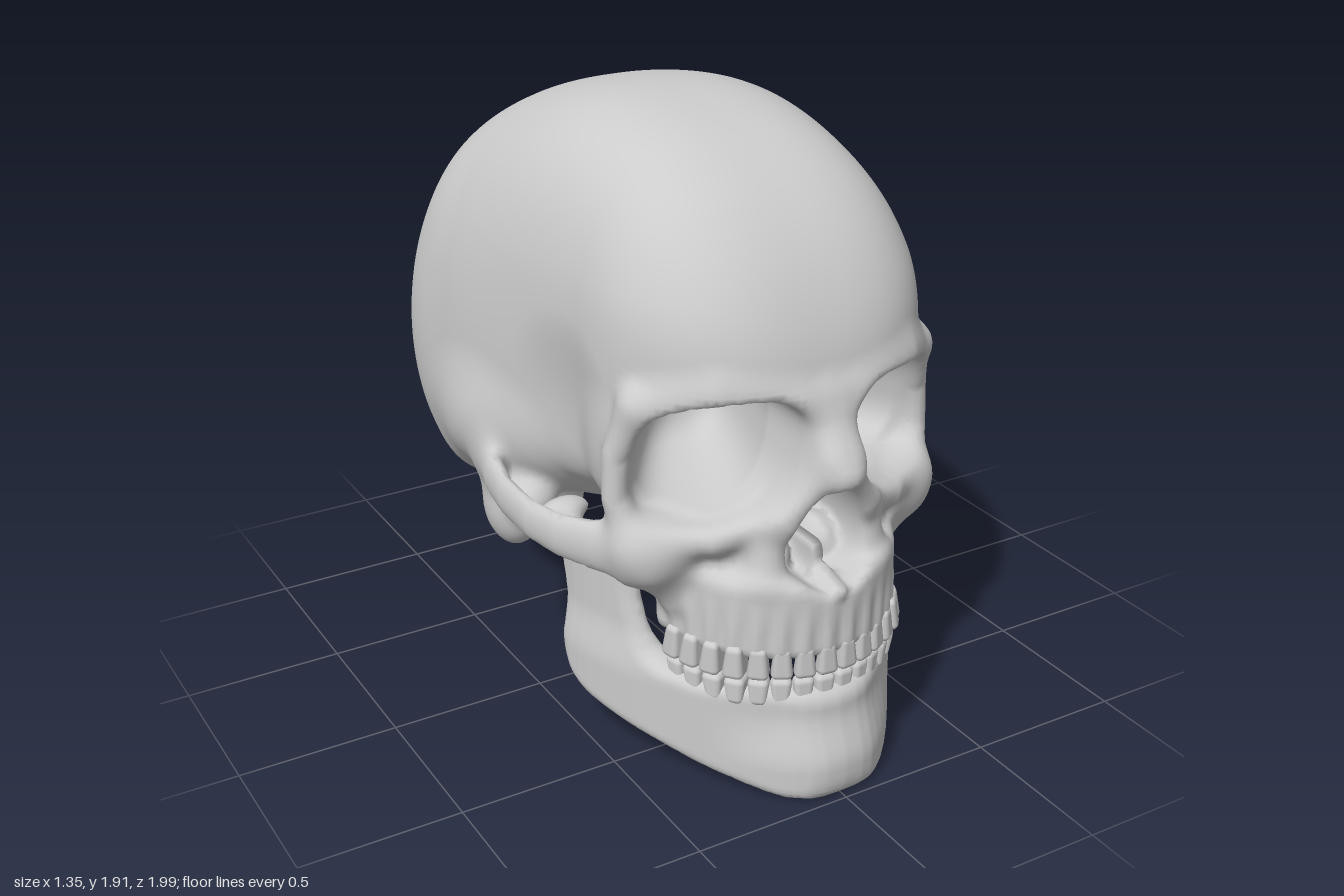
import * as THREE from 'three';
import { RoundedBoxGeometry } from 'three/addons/geometries/RoundedBoxGeometry.js';

const bone = new THREE.MeshStandardMaterial({ color: 0xcccccc });

// ---- blending and primitive shapes (signed distance, negative inside) ----
const smin = (a, b, k) => {
  const h = Math.max(k - Math.abs(a - b), 0) / k;
  return Math.min(a, b) - h * h * k / 4;
};
const smax = (a, b, k) => -smin(-a, -b, k);
const step = (a, b, v) => {
  const t = Math.min(Math.max((v - a) / (b - a), 0), 1);
  return t * t * (3 - 2 * t);
};
const len = (a, b, c = 0) => Math.sqrt(a * a + b * b + c * c);

function ellipsoid(x, y, z, cx, cy, cz, rx, ry, rz) {
  const a = (x - cx) / rx, b = (y - cy) / ry, c = (z - cz) / rz;
  const k0 = len(a, b, c), k1 = len(a / rx, b / ry, c / rz);
  return (k0 + 1e-6) * (k0 - 1) / (k1 + 1e-6);
}

// rounded strut through points [x, y, z, radius]; flat < 1 makes it taller than thick
function strut(x, y, z, pts, flat = 1) {
  let best = 1e9;
  for (let i = 0; i + 1 < pts.length; i++) {
    const [ax, ay, az, ar] = pts[i], [bx, by, bz, br] = pts[i + 1];
    const px = x - ax, py = (y - ay) * flat, pz = z - az;
    const dx = bx - ax, dy = (by - ay) * flat, dz = bz - az;
    const t = Math.min(Math.max((px * dx + py * dy + pz * dz) / (dx * dx + dy * dy + dz * dz), 0), 1);
    best = Math.min(best, len(px - dx * t, py - dy * t, pz - dz * t) - ar - (br - ar) * t);
  }
  return best;
}

function polygon(u, v, pts) {
  let d = 1e9, sign = 1;
  for (let i = 0, j = pts.length - 1; i < pts.length; j = i++) {
    const a = pts[i], b = pts[j], ex = b.x - a.x, ey = b.y - a.y, wx = u - a.x, wy = v - a.y;
    const t = Math.min(Math.max((wx * ex + wy * ey) / (ex * ex + ey * ey + 1e-12), 0), 1);
    d = Math.min(d, len(wx - ex * t, wy - ey * t));
    if ((a.y > v) !== (b.y > v) && u < a.x + ex * (v - a.y) / ey) sign = -sign;
  }
  return sign * d;
}

// ---- skin a field with one vertex per surface cell and smooth normals ----
function sculpt(name, field, lo, hi, h) {
  const n = lo.map((l, a) => Math.ceil((hi[a] - l) / h) + 1);
  const stride = [1, n[0], n[0] * n[1]], total = n[0] * n[1] * n[2];
  const val = new Float32Array(total), id = new Int32Array(total).fill(-1);
  const pos = [], nor = [], index = [];
  const each = (margin, fn) => {
    for (let k = 0; k < n[2] - margin; k++) for (let j = 0; j < n[1] - margin; j++)
      for (let i = 0; i < n[0] - margin; i++) fn(i, j, k, i + j * stride[1] + k * stride[2]);
  };
  each(0, (i, j, k, c) => { val[c] = field(lo[0] + i * h, lo[1] + j * h, lo[2] + k * h); });
  const gradient = (x, y, z, e) => [field(x + e, y, z) - field(x - e, y, z),
    field(x, y + e, z) - field(x, y - e, z), field(x, y, z + e) - field(x, y, z - e)].map(g => g / (2 * e));
  each(1, (i, j, k, c) => {
    const p = [0, 0, 0];
    let hits = 0;
    for (let q = 0; q < 8; q++) for (let a = 0; a < 3; a++) {
      if (q >> a & 1) continue;
      const o = [q & 1, q >> 1 & 1, q >> 2];
      const s = c + o[0] + o[1] * stride[1] + o[2] * stride[2], v0 = val[s], v1 = val[s + stride[a]];
      if ((v0 < 0) === (v1 < 0)) continue;
      o[a] += v0 / (v0 - v1);
      for (let b = 0; b < 3; b++) p[b] += o[b];
      hits++;
    }
    if (!hits) return;
    const w = [i, j, k].map((g, a) => lo[a] + (g + p[a] / hits) * h);
    const g = gradient(...w, 0.006), l = len(...g) || 1;
    const move = Math.min(Math.max(field(...w) / l, -h / 2), h / 2);
    id[c] = pos.length / 3;
    pos.push(...w.map((v, a) => v - g[a] / l * move));
    nor.push(...g.map(v => v / l));
  });
  each(1, (i, j, k, c) => {
    const at = [i, j, k];
    for (let a = 0; a < 3; a++) {
      const b = (a + 1) % 3, d = (a + 2) % 3;
      if (!at[b] || !at[d] || (val[c] < 0) === (val[c + stride[a]] < 0)) continue;
      const q = [id[c], id[c - stride[b]], id[c - stride[b] - stride[d]], id[c - stride[d]]];
      if (val[c] >= 0) q.reverse();
      index.push(q[0], q[1], q[2], q[0], q[2], q[3]);
    }
  });
  const geo = new THREE.BufferGeometry();
  geo.setAttribute('position', new THREE.Float32BufferAttribute(pos, 3));
  geo.setAttribute('normal', new THREE.Float32BufferAttribute(nor, 3));
  geo.setIndex(index);
  const mesh = new THREE.Mesh(geo, bone);
  mesh.name = name;
  return mesh;
}

// ---- braincase: side profile as radii every 15 degrees, front through top to back ----
const radii = [.89, .932, .941, .932, .907, .875, .86, .861, .885, .915, .924, .936,
  .947, .944, .92, .856, .63, .5, .455, .445, .45, .48, .58, .75];
function braincase(x, y, z) {
  const dz = z + .05, dy = y - 1.05;
  const a = (Math.atan2(dy, dz) / (Math.PI * 2) + 1) % 1 * 24, i = Math.floor(a), t = a - i;
  const [p, q, r, s] = [23, 24, 25, 26].map(o => radii[(i + o) % 24]);
  const R = q + .5 * t * (r - p + t * (2 * p - 5 * q + 4 * r - s + t * (3 * (q - r) + s - p)));
  const W = .66 + .05 * step(-.35, -.7, z) - .11 * step(-.6, .35, z) + .035 * step(.25, .6, z);
  const e = 2.5 + .5 * step(1.15, 1.5, y) * step(-.4, .3, z);
  return (Math.pow(Math.pow(len(dy, dz) / R, e) + Math.pow(x / W, e), 1 / e) - 1) * .65;
}

// eye socket: slanted rounded funnel narrowing inward
function socket(x, y, z) {
  const t = Math.min(Math.max((z - .3) / .36, 0), 1), s = .3 + .7 * Math.sqrt(t);
  const dx = x - (.14 + .165 * t), dy = y - 1.05;
  const u = Math.abs(dx + dy * .2) / (.215 * s), v = Math.abs(dy + dx * .06) / (.19 * s);
  return smax((Math.pow(Math.pow(u, 2.6) + Math.pow(v, 2.6), 1 / 2.6) - 1) * .19 * s, .3 - z, .08);
}

function dentalArch(x, z, rx, rz) {
  return (len(x / rx, Math.max(z - .55, 0) / rz) - 1) * rx;
}

const brow = [[.1, 1.21, .82, .04], [.3, 1.255, .75, .035], [.46, 1.205, .615, .035]];
const sideRim = [[.47, 1.2, .6, .04], [.515, 1.05, .557, .035], [.515, .92, .557, .04], [.48, .8, .59, .05]];
const lowerRim = [[.46, .8, .6, .045], [.3, .81, .73, .045], [.14, .87, .79, .045]];
const noseSide = [[.07, 1.1, .82, .04], [.15, .84, .8, .05], [.17, .7, .8, .06]];
const noseBridge = [[0, 1.2, .815, .06], [0, 1.06, .895, .055], [0, 1.02, .935, .045]];
const noseRoof = [[.02, 1.05, .895, .05], [.12, .88, .825, .055]];
const buttress = [[.43, .71, .6, .055], [.35, .6, .6, .05]];
const cheekArch = [[.49, .75, .575, .04], [.565, .755, .485, .034], [.615, .758, .4, .03], [.645, .762, .28, .028],
  [.648, .77, .12, .028], [.63, .785, 0, .032], [.59, .81, -.16, .03]];
const spine = [[0, .655, .84, .03], [0, .655, .925, .016]];

function skull(px, y, z) {
  const x = Math.abs(px);
  // braincase with hollow temples, wide ear region, bony lumps behind the jaw joint
  let d = smax(braincase(x, y, z), -ellipsoid(x, y, z, .7, 1.02, .3, .2, .38, .27), .08);
  d = smin(d, ellipsoid(x, y, z, .39, 1.02, .44, .115, .24, .13), .06);
  d = smin(d, ellipsoid(x, y, z, .44, .88, -.2, .195, .2, .28), .12);
  d = smin(d, ellipsoid(x, y, z, .53, .63, -.09, .085, .14, .12), .1);
  d = smin(d, ellipsoid(x, y, z, .38, .57, -.22, .14, .15, .17), .06);
  d = smin(d, ellipsoid(x, y, z, .53, .69, .05, .07, .06, .06), .07);
  // upper jaw with root ridges
  const ridge = .005 * Math.cos(Math.atan2(x, z - .55) * 34) * step(.66, .52, y);
  const gum = smax(dentalArch(x, z, .37, .388) + ridge, Math.max(Math.abs(y - .575) - .125, .5 - z), .04);
  const mid = smax(ellipsoid(x, y, z, 0, .78, .5, .4, .25, .33), .48 - z, .1);
  d = smin(d, smin(mid, gum, .07), .05);
  // brow, rims of the eye sockets, cheekbones and nose
  d = smin(d, strut(x, y, z, brow), .08);
  d = smin(d, strut(x, y, z, sideRim), .06);
  d = smin(d, strut(x, y, z, lowerRim), .05);
  d = smin(d, ellipsoid(x, y, z, .42, .75, .595, .12, .105, .105), .07);
  d = smin(d, strut(x, y, z, buttress), .06);
  d = smin(d, strut(x, y, z, cheekArch, .45), .04);
  d = smin(d, strut(x, y, z, noseSide), .05);
  d = smin(d, strut(x, y, z, noseRoof), .06);
  d = smin(d, strut(x, y, z, noseBridge), .07);
  // openings: ear canal, spinal opening, eye sockets, pear-shaped nose, palate
  d = smax(d, -ellipsoid(x, y, z, .63, .69, -.01, .05, .03, .025), .02);
  d = smax(d, -ellipsoid(x, y, z, 0, .53, -.27, .1, .1, .13), .03);
  d = smax(d, -socket(x, y, z), .03);
  const w = Math.max(.135 - .2 * (y - .76), .03);
  d = smax(d, -smax((len(x / w, (y - .815) / .165) - 1) * .1, .6 - z, .05), .02);
  d = smax(d, -smax(dentalArch(x, z, .27, .3), Math.max(y - .57, .3 - z), .06), .03);
  // inner nose: low septum, side lumps and front spine
  d = smin(d, Math.max(x - .016, Math.abs(y - .7) - .06, Math.abs(z - .7) - .12), .04);
  d = smin(d, ellipsoid(x, y, z, .08, .7, .67, .05, .07, .09), .03);
  return smin(d, strut(x, y, z, spine), .03);
}

// ---- lower jaw: plan curve thickened, trimmed by a side outline ----
const jawPlan = new THREE.SplineCurve([[0, .945], [.08, .928], [.18, .845], [.28, .715], [.365, .555],
  [.435, .385], [.465, .25], [.455, .08]].map(p => new THREE.Vector2(...p))).getPoints(21).map(p => [p.x, 0, p.y, 0]);
const jawSide = new THREE.CatmullRomCurve3([[.965, 0], [.8, .035], [.62, .075], [.45, .11], [.26, .17],
  [.2, .25], [.18, .44], [.12, .65], [.12, .7], [.19, .7], [.24, .65], [.31, .63], [.37, .66], [.41, .69],
  [.455, .64], [.475, .52], [.53, .38], [.6, .345], [.92, .345], [1, .3], [1.02, .07]]
  .map(([u, v]) => new THREE.Vector3(u, v, 0)), true).getPoints(63).slice(0, -1);

function jaw(px, y, z) {
  const x = Math.abs(px), lean = .045 * step(.1, .28, y) * step(.72, .9, z);
  const thick = .055 - .023 * step(.28, .45, y) * step(.65, .5, z);
  const d = smax(strut(x, 0, z + lean, jawPlan) - thick, polygon(z, y, jawSide), .045);
  return smin(d, ellipsoid(x, y, z, .47, .685, .14, .085, .035, .04), .04);
}

// ---- a row of teeth along the dental arch; up = +1 when roots point up ----
function teeth(name, rx, rz, y, height, up) {
  const row = new THREE.Group(), count = 16;
  row.name = name;
  const arch = new THREE.EllipseCurve(0, .55, rx, rz, .03 * Math.PI, .97 * Math.PI);
  const width = arch.getLength() / count;
  for (let i = 0; i < count; i++) {
    const p = arch.getPointAt((i + .5) / count), back = Math.abs(i - 7.5) / 7.5;
    const depth = .045 + .045 * step(.3, .7, back);
    const geo = new RoundedBoxGeometry(width * .97, height, depth, 2, .018);
    const v = geo.attributes.position;
    for (let k = 0; k < v.count; k++) { // narrow towards the root
      const s = 1 - .3 * step(-.1, .5, up * v.getY(k) / height);
      v.setXYZ(k, v.getX(k) * s, v.getY(k), v.getZ(k) * s);
    }
    const tooth = new THREE.Mesh(geo, bone);
    tooth.name = 'tooth';
    tooth.position.set(p.x, y, p.y);
    tooth.rotation.y = Math.atan2(p.x / rx ** 2, (p.y - .55) / rz ** 2);
    row.add(tooth);
  }
  return row;
}

export function createModel() {
  const model = new THREE.Group();
  model.name = 'skull';
  model.add(
    sculpt('craniumAndFace', skull, [-.74, .34, -1.06], [.74, 1.96, 1.04], .02),
    sculpt('lowerJaw', jaw, [-.608, -.04, .03], [.608, .76, 1.06], .016),
    teeth('upperTeeth', .352, .375, .447, .1, 1),
    teeth('lowerTeeth', .335, .362, .345, .09, -1),
  );
  return model;
}
